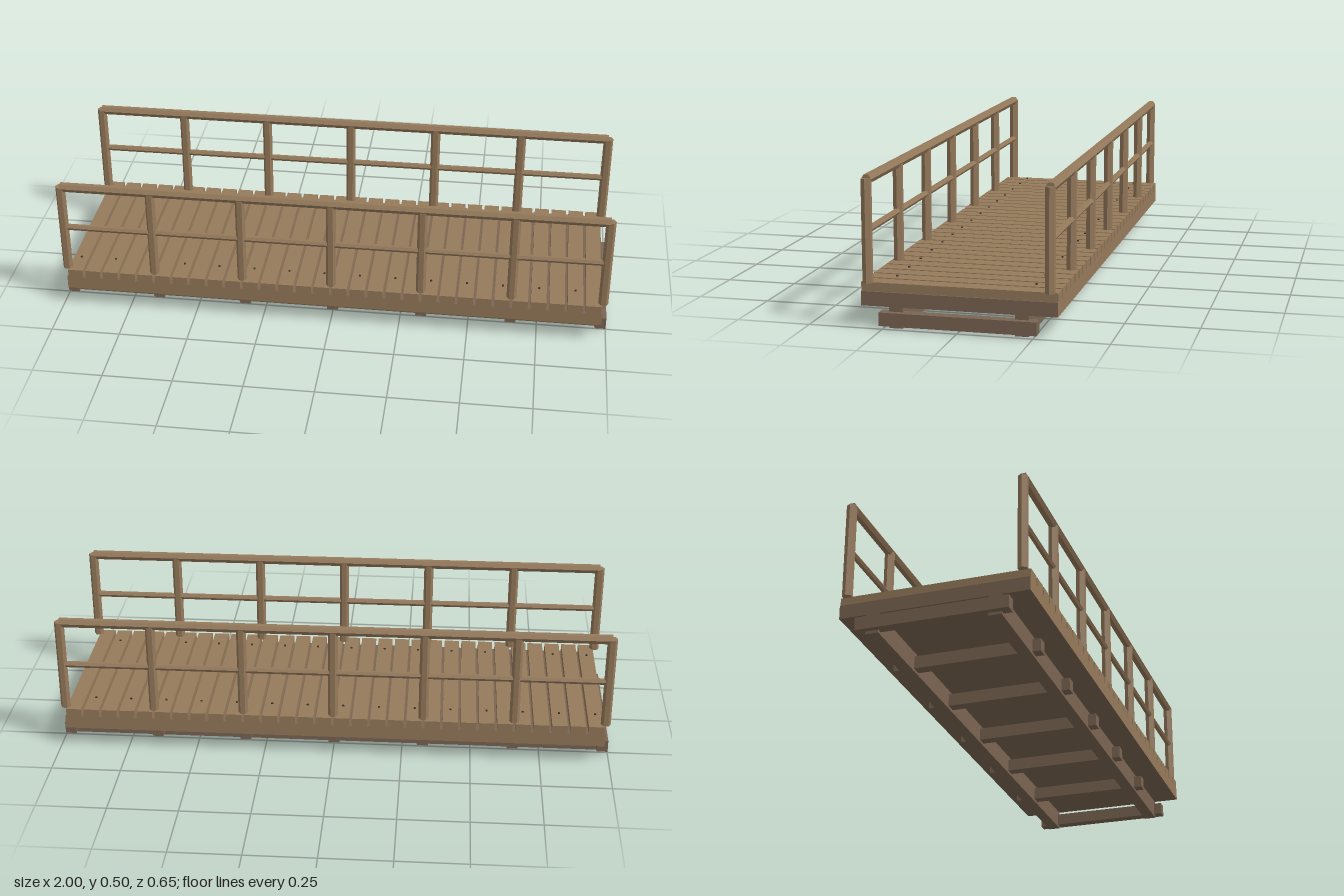
import * as THREE from 'three';

export function createModel() {
  const bridge = new THREE.Group();
  bridge.name = 'footbridge';

  const plankWood = new THREE.MeshStandardMaterial({ color: 0x967a5b });
  plankWood.name = 'plank wood';
  const beamWood = new THREE.MeshStandardMaterial({ color: 0x7b6553 });
  beamWood.name = 'beam wood';
  const iron = new THREE.MeshStandardMaterial({ color: 0x3d342d });
  iron.name = 'nail iron';

  const LENGTH = 1.96, HALF = LENGTH / 2, WIDTH = 0.654;
  const BAYS = 6, PLANKS = 30, GAP = 0.01;

  function add(name, geometry, material, x, y, z) {
    const mesh = new THREE.Mesh(geometry, material);
    mesh.name = name;
    mesh.position.set(x, y, z);
    bridge.add(mesh);
    return mesh;
  }

  // Six-sided pole with crisp faces
  function pole(radius, length) {
    const g = new THREE.CylinderGeometry(radius, radius, length, 6).toNonIndexed();
    g.computeVertexNormals();
    return g;
  }

  // Deck base: dark ends and underside, lighter long sides
  const deckSides = [beamWood, beamWood, beamWood, beamWood, plankWood, plankWood];
  add('deckBase', new THREE.BoxGeometry(LENGTH, 0.048, WIDTH), deckSides, 0, 0.094, 0);

  // Planks, with nails in every second one
  const pitch = LENGTH / PLANKS;
  const plankShape = new THREE.BoxGeometry(pitch - GAP, 0.03, WIDTH);
  const nailShape = new THREE.CylinderGeometry(0.004, 0.004, 0.006, 8);
  for (let i = 0; i < PLANKS; i++) {
    const x = -HALF + (i + 0.5) * pitch;
    add('plank', plankShape, plankWood, x, 0.133, 0);
    if (i % 2 === 0) {
      for (const side of [-1, 1]) add('nail', nailShape, iron, x, 0.149, side * 0.235);
    }
  }

  // Cross beams below the deck
  const crossShape = new THREE.BoxGeometry(0.04, 0.045, 0.524);
  for (let i = 0; i <= BAYS; i++) {
    add('crossBeam', crossShape, beamWood, -HALF + (i * LENGTH) / BAYS, 0.0325, 0);
  }

  // Long beams and railings, mirrored front to back
  const stringerShape = new THREE.BoxGeometry(LENGTH, 0.072, 0.045);
  const postShape = pole(0.0178, 0.343);
  postShape.rotateY(Math.PI / 2);
  const topRailShape = pole(0.0172, LENGTH);
  topRailShape.rotateZ(Math.PI / 2);
  const midRailShape = pole(0.0115, LENGTH);
  midRailShape.rotateZ(Math.PI / 2);
  for (const side of [-1, 1]) {
    const z = side * 0.302;
    add('longBeam', stringerShape, beamWood, 0, 0.036, side * 0.2095);
    add('topRail', topRailShape, plankWood, 0, 0.487, z);
    add('middleRail', midRailShape, plankWood, 0, 0.32, z);
    for (let i = 0; i <= BAYS; i++) {
      add('railPost', postShape, plankWood, -HALF + (i * LENGTH) / BAYS, 0.3185, z);
    }
  }

  return bridge;
}
